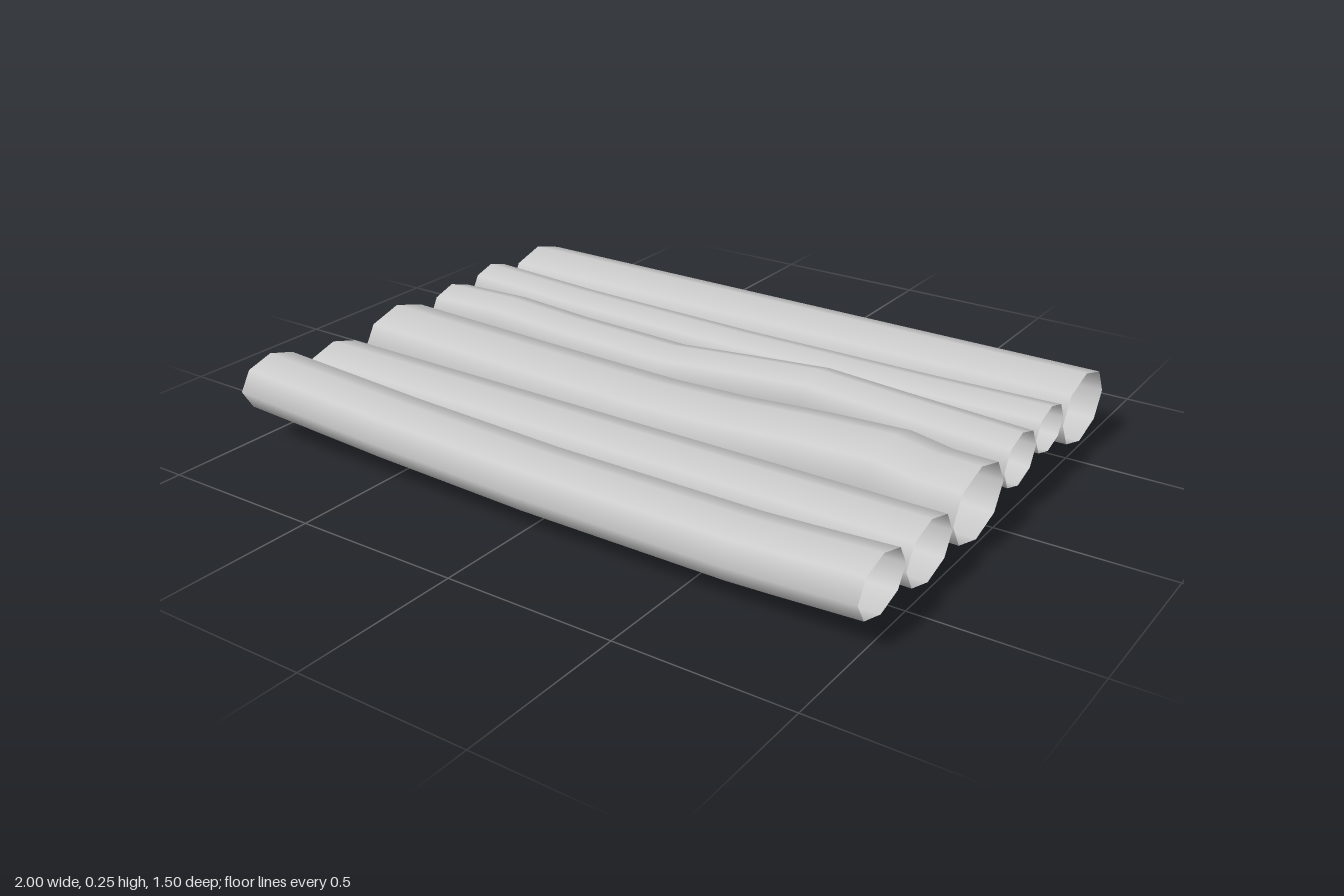
import * as THREE from 'three';

const material = new THREE.MeshStandardMaterial({ color: 0xcccccc, side: THREE.DoubleSide });

// Height of a sagging log's axis at x, from [x, y] points
function heightAt(points, x) {
  for (let i = 1; i < points.length; i++) {
    const [x0, y0] = points[i - 1], [x1, y1] = points[i];
    if (x <= x1) return THREE.MathUtils.mapLinear(x, x0, x1, y0, y1);
  }
  return points[points.length - 1][1];
}

// Open eight-sided tube along x, flattened in y, bent along its axis heights
function makeLog(name, z, rz, ry, axis) {
  const bent = axis.length > 2;
  const geometry = new THREE.CylinderGeometry(1, 1, 2, 8, bent ? 16 : 1, true);
  geometry.rotateZ(-Math.PI / 2);
  geometry.scale(1, ry, rz);
  const p = geometry.attributes.position;
  for (let i = 0; i < p.count; i++) p.setY(i, p.getY(i) + heightAt(axis, p.getX(i)));
  const log = new THREE.Mesh(geometry, material);
  log.name = name;
  log.position.z = z;
  return log;
}

export function createModel() {
  const group = new THREE.Group();
  group.name = 'logRaft';

  // Logs from front to back: name, z, half width, half height, axis heights
  const logs = [
    ['frontLog', 0.632, 0.118, 0.081,
      [[-1, 0.163], [-0.5, 0.138], [0, 0.123], [0.65, 0.123], [1, 0.141]]],
    ['secondLog', 0.385, 0.125, 0.087, [[-1, 0.112], [1, 0.112]]],
    ['thirdLog', 0.107, 0.151, 0.104,
      [[-1, 0.126], [-0.75, 0.12], [-0.4, 0.112], [0, 0.106], [0.25, 0.114], [0.5, 0.132], [0.75, 0.143], [0.875, 0.122], [1, 0.12]]],
    ['fourthLog', -0.15, 0.105, 0.078,
      [[-1, 0.145], [-0.75, 0.152], [-0.5, 0.138], [-0.125, 0.13], [0.125, 0.152], [0.375, 0.172], [0.625, 0.158], [1, 0.14]]],
    ['fifthLog', -0.348, 0.097, 0.068,
      [[-1, 0.168], [-0.6, 0.152], [0, 0.144], [0.6, 0.146], [1, 0.153]]],
    ['backLog', -0.599, 0.151, 0.106, [[-1, 0.123], [1, 0.123]]],
  ];
  for (const log of logs) group.add(makeLog(...log));
  return group;
}
